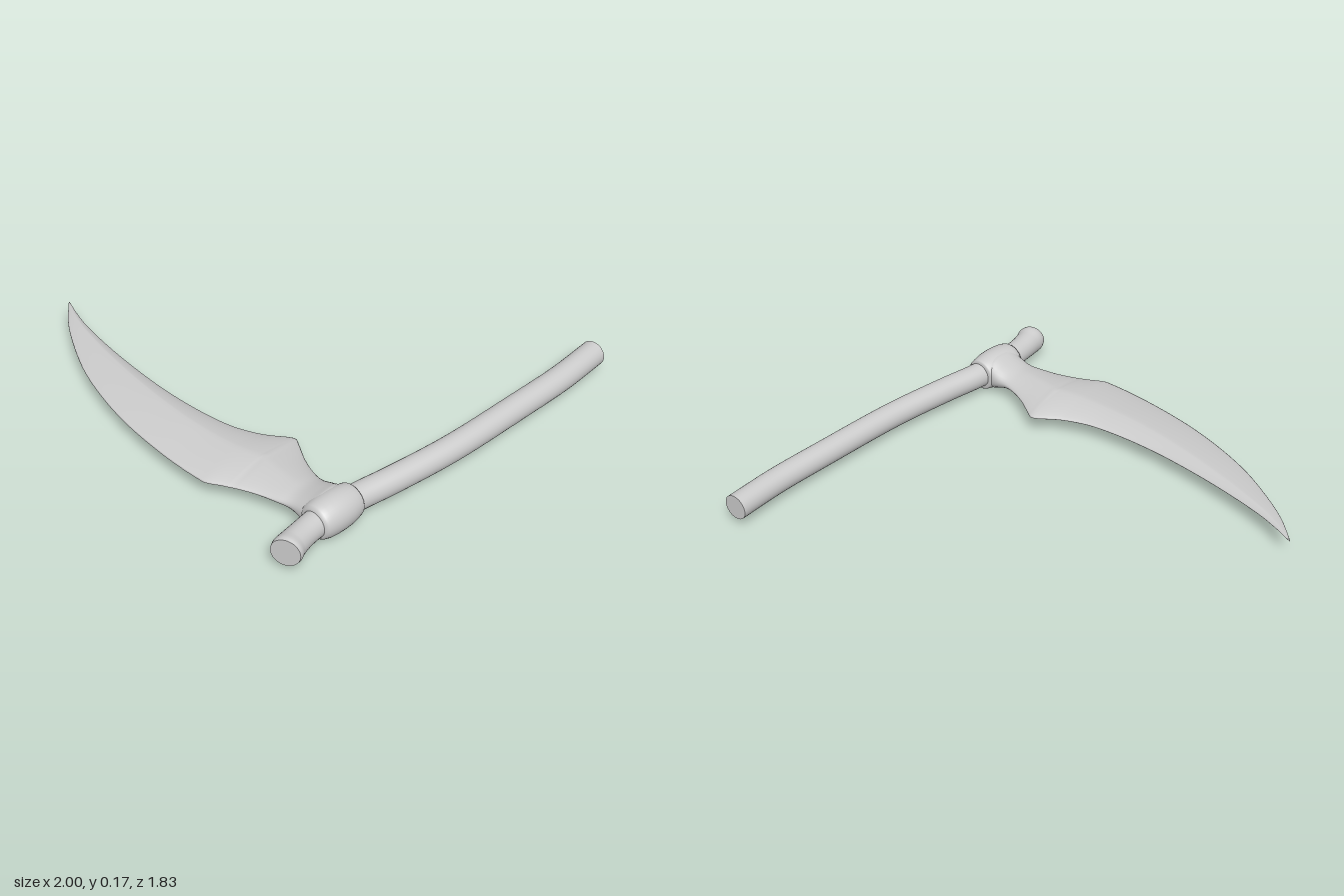
import * as THREE from 'three';

const MID = 0.088; // height of the tool's flat centre plane
const SIDES = 32;

// Skin a list of equal-length rings (arrays of Vector3) and close both ends.
function loft(rings) {
  const n = rings[0].length;
  const pos = [], idx = [];
  rings.forEach(r => r.forEach(p => pos.push(p.x, p.y, p.z)));
  for (let i = 0; i < rings.length - 1; i++) {
    for (let j = 0; j < n; j++) {
      const a = i * n + j, b = i * n + (j + 1) % n;
      idx.push(a, b, a + n, b, b + n, a + n);
    }
  }
  // Caps have their own vertices so their rims stay sharp
  [rings[0], rings[rings.length - 1]].forEach((ring, end) => {
    const base = pos.length / 3;
    const c = ring.reduce((s, p) => s.add(p), new THREE.Vector3()).divideScalar(n);
    [c, ...ring].forEach(p => pos.push(p.x, p.y, p.z));
    for (let j = 0; j < n; j++) {
      const a = base + 1 + j, b = base + 1 + (j + 1) % n;
      if (end) idx.push(base, a, b);
      else idx.push(base, b, a);
    }
  });
  const g = new THREE.BufferGeometry();
  g.setAttribute('position', new THREE.Float32BufferAttribute(pos, 3));
  g.setIndex(idx);
  g.computeVertexNormals();
  return g;
}

// Smooth curve through rows of three numbers
const curve = rows => new THREE.CatmullRomCurve3(rows.map(r => new THREE.Vector3(...r)));

// Bent round shaft: rows of x, z, radius
function handleGeometry() {
  const rows = [
    [0.94, -0.92, 0.056], [0.94, -0.68, 0.056], [0.92, -0.4, 0.056], [0.884, 0, 0.056],
    [0.832, 0.3, 0.056], [0.792, 0.49, 0.056], [0.776, 0.66, 0.056], [0.779, 0.76, 0.055],
    [0.789, 0.84, 0.059], [0.797, 0.875, 0.064], [0.802, 0.893, 0.061],
  ];
  const path = curve(rows.map(([x, z]) => [x, MID, z]));
  const radius = curve(rows.map(([, , r]) => [r, 0, 0]));
  const rings = [];
  const steps = 60;
  for (let i = 0; i <= steps; i++) {
    const t = i / steps;
    const c = path.getPoint(t), r = radius.getPoint(t).x;
    let tan = path.getTangent(t);
    if (i === 0) tan = new THREE.Vector3(0, 0, 1);
    if (t > 0.85) tan.lerp(new THREE.Vector3(0.35, 0, 0.94), (t - 0.85) / 0.15).normalize();
    rings.push(Array.from({ length: SIDES }, (_, j) => {
      const a = j / SIDES * Math.PI * 2, s = Math.cos(a) * r;
      return new THREE.Vector3(c.x + tan.z * s, c.y + Math.sin(a) * r, c.z - tan.x * s);
    }));
  }
  return loft(rings);
}

// Curved blade: rows of x, back edge z, front edge z, ridge z, half thickness, sharpness
// (sharpness 1 is an oval section, 2 a diamond)
function bladeGeometry() {
  const rows = [
    [-1, 0.288, 0.294, 0.291, 0.002, 1.5],
    [-0.9, 0.332, 0.392, 0.35, 0.01, 1.5],
    [-0.8, 0.367, 0.468, 0.395, 0.016, 1.5],
    [-0.6, 0.415, 0.59, 0.46, 0.024, 1.5],
    [-0.4, 0.45, 0.675, 0.512, 0.031, 1.5],
    [-0.2, 0.473, 0.735, 0.553, 0.036, 1.5],
    [0, 0.477, 0.773, 0.58, 0.038, 1.5],
    [0.15, 0.462, 0.791, 0.587, 0.038, 1.5],
    [0.26, 0.425, 0.797, 0.585, 0.04, 1.5],
    [0.3, 0.403, 0.796, 0.58, 0.041, 1.5],
    [0.36, 0.365, 0.768, 0.57, 0.042, 1.5],
    [0.385, 0.357, 0.757, 0.566, 0.042, 1.5],
    [0.42, 0.378, 0.742, 0.566, 0.042, 1.5],
    [0.5, 0.433, 0.715, 0.58, 0.04, 1.4],
    [0.58, 0.472, 0.697, 0.59, 0.038, 1.2],
    [0.64, 0.488, 0.686, 0.59, 0.041, 1],
    [0.7, 0.486, 0.692, 0.592, 0.06, 0.85],
    [0.74, 0.492, 0.695, 0.594, 0.077, 0.75],
    [0.79, 0.51, 0.68, 0.596, 0.08, 0.75],
  ];
  const outline = curve(rows.map(r => r.slice(0, 3)));
  const section = curve(rows.map(r => r.slice(3)));
  const power = (v, e) => Math.sign(v) * Math.abs(v) ** e;
  const rings = [];
  const steps = (rows.length - 1) * 5;
  for (let i = 0; i <= steps; i++) {
    const { x, y: back, z: front } = outline.getPoint(i / steps);
    const { x: ridge, y: half, z: sharp } = section.getPoint(i / steps);
    rings.push(Array.from({ length: SIDES }, (_, j) => {
      const a = j / SIDES * Math.PI * 2;
      const u = power(Math.cos(a), sharp), v = power(Math.sin(a), sharp);
      return new THREE.Vector3(x, MID + v * half, ridge + u * (u > 0 ? back - ridge : ridge - front));
    }));
  }
  return loft(rings);
}

// Swollen socket ring: radius against distance along the shaft
function collarGeometry() {
  const profile = [
    [0.05, -0.106], [0.066, -0.106], [0.071, -0.1], [0.077, -0.075], [0.083, -0.04], [0.085, 0],
    [0.084, 0.035], [0.08, 0.07], [0.074, 0.092], [0.065, 0.104], [0.05, 0.104],
  ].map(([r, y]) => new THREE.Vector2(r, y));
  return new THREE.LatheGeometry(profile, 40).rotateX(Math.PI / 2);
}

export function createModel() {
  const group = new THREE.Group();
  group.name = 'sickle';
  const material = new THREE.MeshStandardMaterial({ color: 0xcccccc });
  const add = (name, geometry) => {
    const mesh = new THREE.Mesh(geometry, material);
    mesh.name = name;
    group.add(mesh);
    return mesh;
  };
  add('handle', handleGeometry());
  add('blade', bladeGeometry());
  const collar = add('collar', collarGeometry());
  collar.position.set(0.779, MID, 0.596);
  collar.rotation.y = -0.07;
  return group;
}
